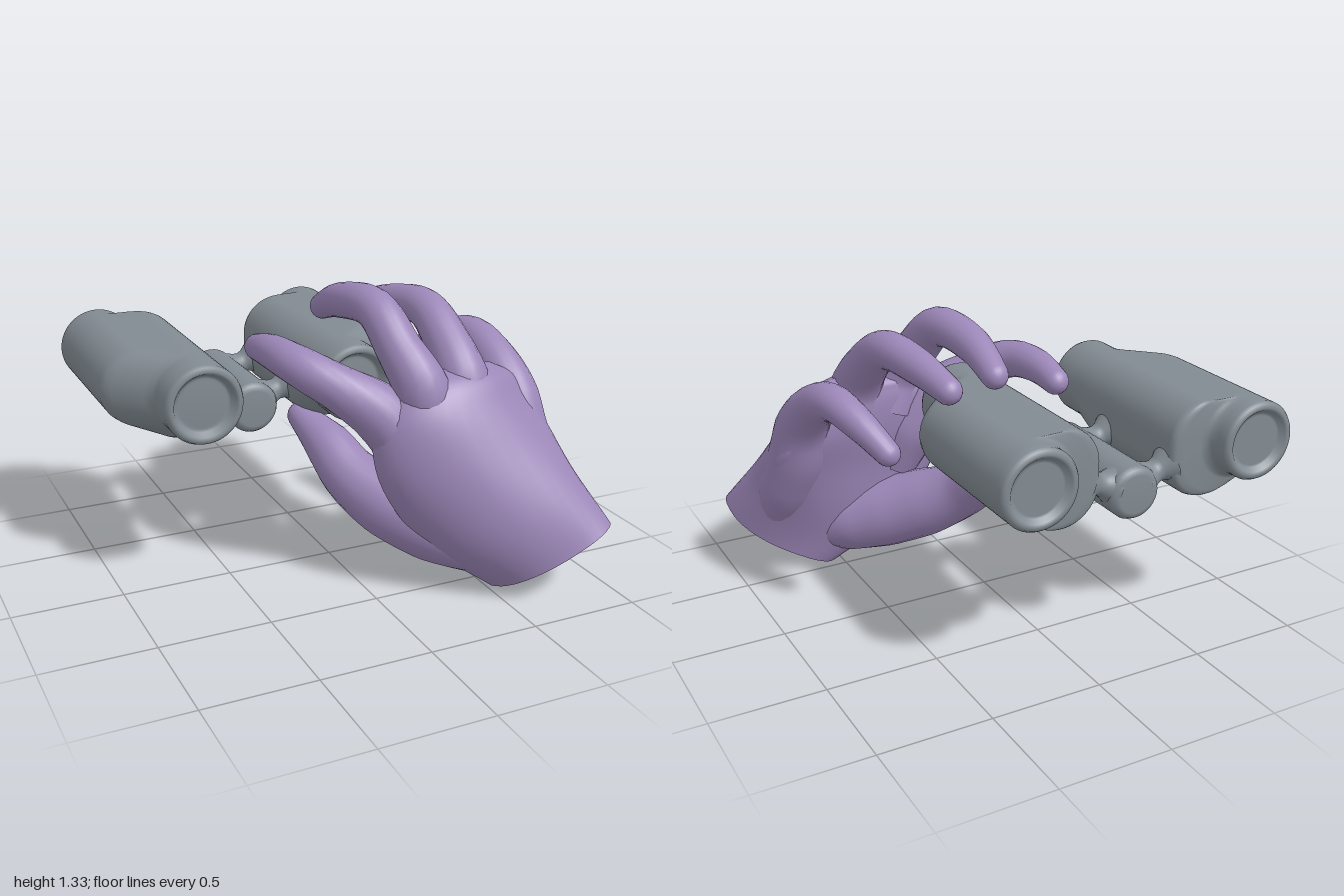
import * as THREE from 'three';

const V = (x, y, z) => new THREE.Vector3(x, y, z);
const HINGE = V(-0.293, 0.72, -0.48);
const metal = new THREE.MeshStandardMaterial({ color: 0x828b92 });
const skin = new THREE.MeshStandardMaterial({ color: 0x9c87b8 });

// Skin a list of equal-sized rings, counter-clockwise about the direction of travel
function loft(rings) {
  const n = rings[0].length, pos = [], idx = [];
  rings.forEach(r => r.forEach(p => pos.push(p.x, p.y, p.z)));
  for (let i = 0; i < rings.length - 1; i++) {
    for (let j = 0; j < n; j++) {
      const a = i * n + j, b = i * n + (j + 1) % n;
      idx.push(a, b, b + n, a, b + n, a + n);
    }
  }
  const g = new THREE.BufferGeometry();
  g.setAttribute('position', new THREE.Float32BufferAttribute(pos, 3));
  g.setIndex(idx);
  g.computeVertexNormals();
  return g;
}

function add(parent, name, geometry, material) {
  const m = new THREE.Mesh(geometry, material);
  m.name = name;
  parent.add(m);
  return m;
}

// Outline around three circles of one radius, at depth z
function hullRing(centres, r, z, n = 64) {
  return Array.from({ length: n }, (_, i) => {
    const a = (i + 0.5) / n * Math.PI * 2, c = Math.cos(a), s = Math.sin(a);
    let best = centres[0];
    for (const p of centres) if (p.x * c + p.y * s > best.x * c + best.y * s) best = p;
    return V(best.x + r * c, best.y + r * s, z);
  });
}

// One barrel: objective tube, wide prism housing, eyepiece tube
function barrel(side) {
  const at = (dx, y) => new THREE.Vector2(HINGE.x + side * dx, y);
  const objective = at(0.53, 0.895), eyepiece = at(0.352, 0.895), prism = at(0.35, 0.81);
  // z, pull towards objective, pull towards eyepiece, radius
  const stations = [
    [-0.885, 1, 0, 0], [-0.885, 1, 0, 0.11], [-0.885, 1, 0, 0.122], [-0.905, 1, 0, 0.138],
    [-0.91, 1, 0, 0.15], [-0.905, 1, 0, 0.167], [-0.89, 1, 0, 0.176], [-0.85, 1, 0, 0.176],
    [-0.82, 0.97, 0, 0.176], [-0.802, 0.89, 0, 0.176], [-0.793, 0.76, 0, 0.176],
    [-0.79, 0.3, 0, 0.176], [-0.784, 0.12, 0, 0.176], [-0.774, 0.04, 0, 0.176],
    [-0.755, 0, 0, 0.176], [-0.21, 0, 0, 0.176], [-0.17, 0, 0.06, 0.176],
    [-0.14, 0, 0.2, 0.176], [-0.03, 0, 0.82, 0.176], [0, 0, 0.96, 0.176], [0.03, 0, 1, 0.176],
    [0.15, 0, 1, 0.176], [0.17, 0, 1, 0.168], [0.178, 0, 1, 0.152], [0.17, 0, 1, 0.14],
    [0.14, 0, 1, 0.125], [0.135, 0, 1, 0.112], [0.14, 0, 1, 0.1], [0.14, 0, 1, 0],
  ];
  return loft(stations.map(([z, back, front, r]) => hullRing(
    [objective, prism, eyepiece].map(p => p.clone().lerp(objective, back).lerp(eyepiece, front)), r, z)));
}

const lathe = points => new THREE.LatheGeometry(points.map(p => new THREE.Vector2(...p)), 32);

function createBinoculars() {
  const g = new THREE.Group();
  g.name = 'binoculars';
  add(g, 'rightBarrel', barrel(-1), metal);
  add(g, 'leftBarrel', barrel(1), metal);

  // Central hinge with rounded ends
  const hinge = add(g, 'hinge', lathe([[0, -0.31], [0.085, -0.31], [0.108, -0.302], [0.12, -0.28],
    [0.12, 0.28], [0.108, 0.302], [0.085, 0.31], [0, 0.31]]), metal);
  hinge.position.copy(HINGE);
  hinge.rotation.x = Math.PI / 2;

  // Flared arms from hinge to barrels
  const armShape = lathe([[0.085, 0.08], [0.07, 0.105], [0.055, 0.13], [0.05, 0.15],
    [0.055, 0.172], [0.073, 0.2], [0.085, 0.225]]);
  for (const side of [-1, 1]) {
    for (const z of [-0.71, -0.265]) {
      const arm = add(g, 'hingeArm', armShape, metal);
      arm.position.set(HINGE.x, HINGE.y, z);
      arm.quaternion.setFromUnitVectors(V(0, 1, 0), V(side * 0.35, 0.12, 0).normalize());
    }
  }
  return g;
}

// Tapering digit along a smooth path, closed by a round tip
function digit(points, radii) {
  const curve = new THREE.CatmullRomCurve3(points.map(p => V(...p)), false, 'centripetal');
  const length = curve.getLength(), tip = radii[radii.length - 1] / length;
  const steps = Array.from({ length: 29 }, (_, i) => i / 28 * (1 - tip));
  for (let i = 1; i <= 7; i++) steps.push(1 - tip + tip * Math.sin(i / 7 * Math.PI / 2));
  return loft(steps.map(t => {
    const c = curve.getPointAt(t), dir = curve.getTangentAt(t);
    const n = V(1, 0, 0).addScaledVector(dir, -dir.x).normalize();
    const b = dir.clone().cross(n);
    // Radii belong to the path points
    const f = curve.getUtoTmapping(t) * (radii.length - 1), k = Math.min(Math.floor(f), radii.length - 2);
    let r = THREE.MathUtils.lerp(radii[k], radii[k + 1], f - k);
    if (t > 1 - tip) r *= Math.sqrt(Math.max(0, 1 - ((t - 1 + tip) / tip) ** 2));
    return Array.from({ length: 20 }, (_, j) => {
      const a = j / 20 * Math.PI * 2;
      return c.clone().addScaledVector(n, r * Math.cos(a)).addScaledVector(b, r * Math.sin(a));
    });
  }));
}

// Palm and wrist: centre, half width, half thickness and cupping at each section
function palm() {
  const sections = [
    [[0.752, 0.172, 0.712], [0.238, 0.135, 0.04], [0.015, 0.075, 0.188], [0.05, 0, 0]],
    [[0.585, 0.38, 0.62], [0.33, 0.13, 0.0], [0.035, 0.07, 0.2], [0.3, 0, 0]],
    [[0.47, 0.62, 0.54], [0.41, 0.08, -0.04], [0.02, 0.06, 0.17], [0.55, 0, 0]],
    [[0.415, 0.8, 0.475], [0.405, 0.02, -0.05], [0, 0.06, 0.145], [0.6, 0, 0]],
    [[0.42, 0.92, 0.43], [0.335, 0.0, -0.04], [0, 0.05, 0.11], [0.6, 0, 0]],
    [[0.4, 0.985, 0.39], [0.22, 0.0, -0.02], [0, 0.025, 0.055], [0.5, 0, 0]],
  ];
  const curves = [0, 1, 2, 3].map(k => new THREE.CatmullRomCurve3(sections.map(s => V(...s[k])), false, 'catmullrom'));
  const ring = (t, scale = 1) => {
    const [c, u, v, cup] = curves.map(q => q.getPoint(t));
    return Array.from({ length: 40 }, (_, j) => {
      const a = -j / 40 * Math.PI * 2;
      const soft = w => Math.sign(w) * Math.abs(w) ** 0.85;
      const across = soft(Math.cos(a)), depth = soft(Math.sin(a)) - cup.x * across ** 2;
      return c.clone().addScaledVector(u, across * scale).addScaledVector(v, depth * scale);
    });
  };
  // The doubled first ring keeps the wrist cut sharp
  const rings = [ring(0, 0), ring(0)];
  for (let i = 0; i <= 25; i++) rings.push(ring(i / 25));
  rings.push(ring(1, 0));
  return loft(rings);
}

function createHand() {
  const g = new THREE.Group();
  g.name = 'hand';
  add(g, 'palm', palm(), skin);
  // Each digit starts inside the palm, so its root swells the palm's pads
  const digits = {
    thumb: [[[0.6, 0.22, 0.62], [0.46, 0.24, 0.53], [0.31, 0.285, 0.42], [0.155, 0.36, 0.27],
      [0.05, 0.45, 0.13], [0, 0.555, -0.01], [-0.08, 0.68, -0.235]],
    [0.12, 0.165, 0.175, 0.16, 0.13, 0.11, 0.05]],
    indexFinger: [[[0.24, 0.5, 0.46], [0.17, 0.68, 0.43], [0.06, 0.83, 0.39], [-0.11, 0.95, 0.32],
      [-0.24, 1.03, 0.2], [-0.28, 1.045, 0.02], [-0.28, 1.01, -0.21]],
    [0.1, 0.14, 0.13, 0.1, 0.088, 0.077, 0.055]],
    middleFinger: [[[0.27, 0.8, 0.45], [0.22, 0.95, 0.45], [0.165, 1.09, 0.36], [0.125, 1.235, 0.21],
      [0.085, 1.22, -0.05], [0.09, 1.12, -0.315]], [0.13, 0.12, 0.1, 0.09, 0.08, 0.055]],
    ringFinger: [[[0.46, 0.8, 0.44], [0.44, 0.94, 0.42], [0.425, 1.08, 0.31], [0.41, 1.19, 0.14],
      [0.365, 1.175, -0.1], [0.315, 1.11, -0.355]], [0.13, 0.12, 0.1, 0.087, 0.077, 0.055]],
    littleFinger: [[[0.79, 0.3, 0.62], [0.775, 0.46, 0.53], [0.74, 0.65, 0.435], [0.73, 0.82, 0.365],
      [0.715, 0.955, 0.23], [0.695, 1.02, 0.06], [0.65, 0.975, -0.1], [0.56, 0.845, -0.28]],
    [0.1, 0.13, 0.135, 0.122, 0.097, 0.082, 0.07, 0.05]],
  };
  for (const [name, [points, radii]] of Object.entries(digits)) add(g, name, digit(points, radii), skin);
  return g;
}

export function createModel() {
  const model = new THREE.Group();
  model.name = 'handHoldingBinoculars';
  model.add(createBinoculars(), createHand());
  return model;
}
